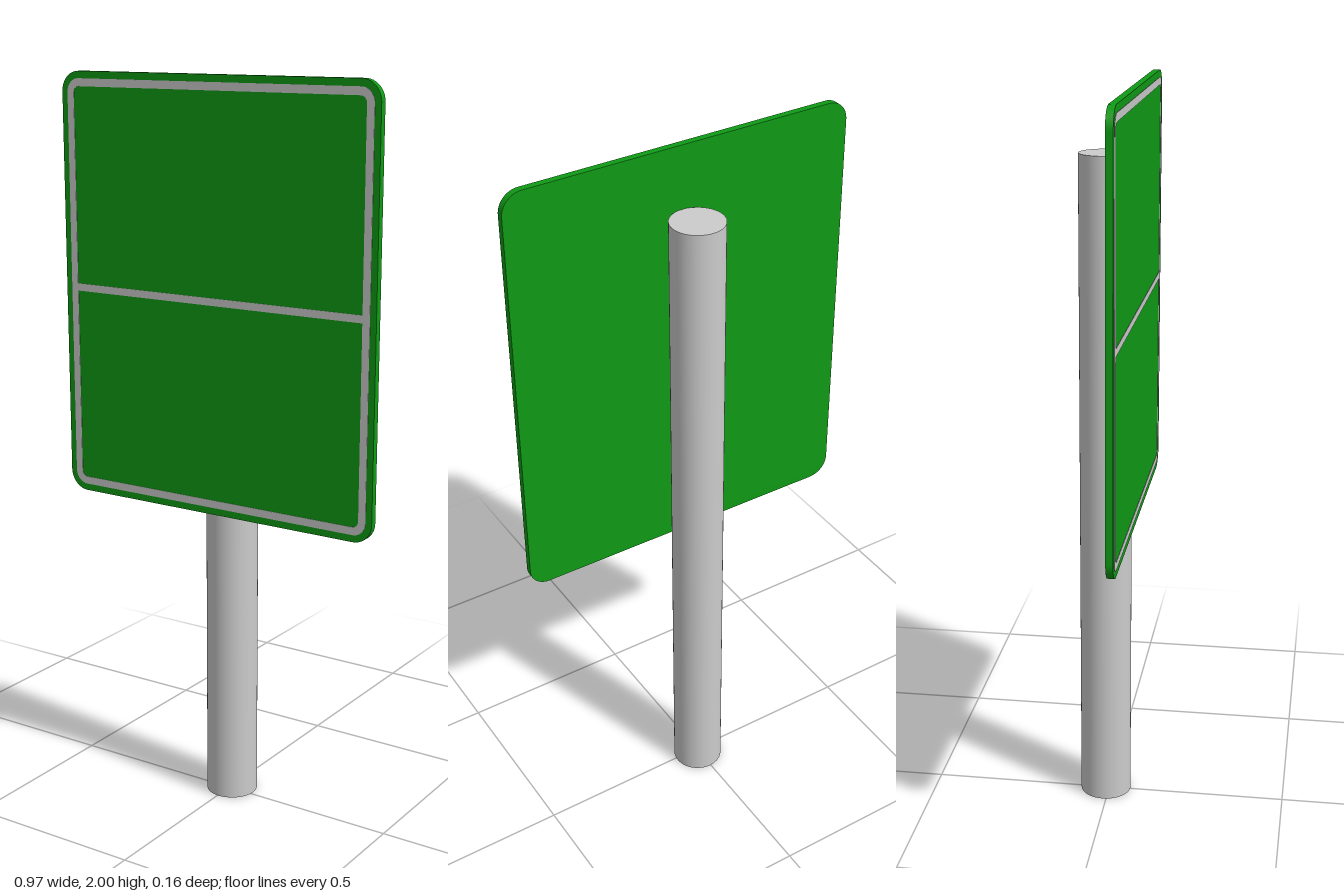
import * as THREE from 'three';

const grey = new THREE.MeshStandardMaterial({ color: 0xcccccc });
const green = new THREE.MeshStandardMaterial({ color: 0x0f9a15 });

// Traces a rounded rectangle centred on the origin into a Shape or Path
function roundedRect(path, width, height, r) {
  const x = width / 2, y = height / 2;
  path.moveTo(-x + r, -y);
  path.lineTo(x - r, -y);
  path.absarc(x - r, -y + r, r, -Math.PI / 2, 0);
  path.lineTo(x, y - r);
  path.absarc(x - r, y - r, r, 0, Math.PI / 2);
  path.lineTo(-x + r, y);
  path.absarc(-x + r, y - r, r, Math.PI / 2, Math.PI);
  path.lineTo(-x, -y + r);
  path.absarc(-x + r, -y + r, r, Math.PI, Math.PI * 1.5);
  return path;
}

function addMesh(parent, name, geometry, material, x, y, z) {
  const mesh = new THREE.Mesh(geometry, material);
  mesh.name = name;
  mesh.position.set(x, y, z);
  parent.add(mesh);
}

export function createModel() {
  const model = new THREE.Group();
  model.name = 'roadSign';
  const midY = 1.42;

  // Round post
  const postHeight = 1.83;
  addMesh(model, 'post', new THREE.CylinderGeometry(0.071, 0.071, postHeight, 48),
    grey, 0.003, postHeight / 2, -0.01);

  // Green panel with rounded corners
  const panel = roundedRect(new THREE.Shape(), 0.968, 1.16, 0.055);
  addMesh(model, 'panel', new THREE.ExtrudeGeometry(panel,
    { depth: 0.019, bevelEnabled: false, curveSegments: 10 }), green, 0, midY, 0.06);

  // Thin border line on the front face
  const border = roundedRect(new THREE.Shape(), 0.932, 1.122, 0.037);
  border.holes.push(roundedRect(new THREE.Path(), 0.89, 1.08, 0.018));
  addMesh(model, 'border', new THREE.ExtrudeGeometry(border,
    { depth: 0.001, bevelEnabled: false, curveSegments: 10 }), grey, 0, midY, 0.079);

  // Line dividing the face in two
  addMesh(model, 'divider', new THREE.BoxGeometry(0.89, 0.02, 0.001),
    grey, 0, midY, 0.0795);

  return model;
}
